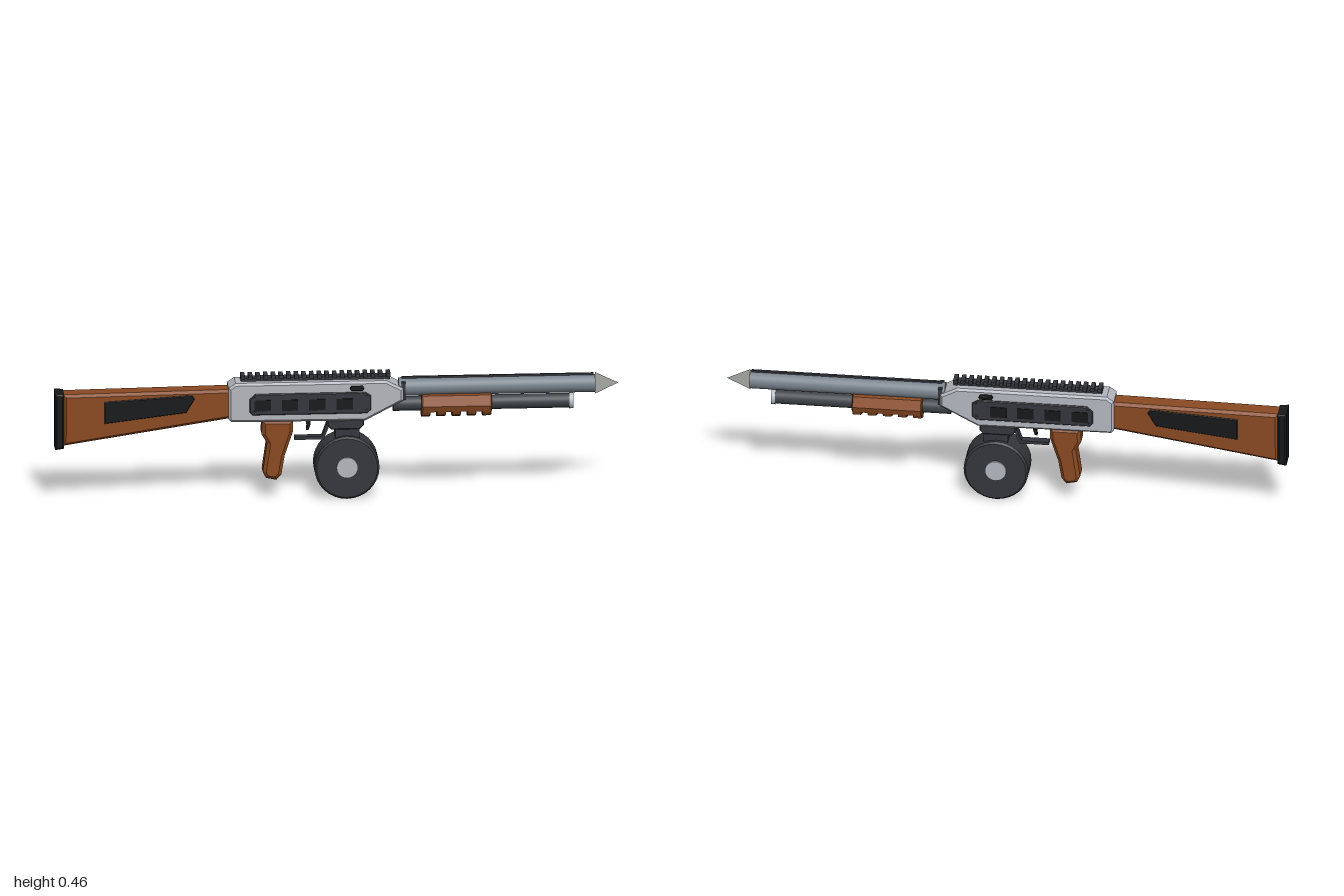
import * as THREE from 'three';

const mat = (color) => new THREE.MeshStandardMaterial({ color, flatShading: true });
const smooth = (color) => new THREE.MeshStandardMaterial({ color });

export function createModel() {
  const group = new THREE.Group();
  const metal = mat(0xb4b7be), wood = mat(0x8a4a22), dark = mat(0x34363c), black = mat(0x17181a);
  const steel = smooth(0x78828c), tubeSteel = smooth(0x3f4449), capSteel = smooth(0xb9bec6);

  function add(name, geometry, material, x = 0, y = 0, z = 0) {
    const mesh = new THREE.Mesh(geometry, material);
    mesh.name = name;
    mesh.position.set(x, y, z);
    group.add(mesh);
    return mesh;
  }
  const box = (name, m, x, y, z, w, h, d) => add(name, new THREE.BoxGeometry(w, h, d), m, x, y, z);

  // Side outline extruded across z, with chamfered edges kept inside the outline
  function slab(name, m, points, width, bevel = 0.008, z = 0) {
    const shape = new THREE.Shape(points.map(([x, y]) => new THREE.Vector2(x, y)));
    const geo = new THREE.ExtrudeGeometry(shape, {
      depth: width - 2 * bevel, bevelEnabled: bevel > 0, bevelSize: bevel,
      bevelThickness: bevel, bevelOffset: -bevel, bevelSegments: 1,
    });
    geo.translate(0, 0, bevel - width / 2);
    return add(name, geo, m, 0, 0, z);
  }

  // Cylinder lying along x between two positions
  function rod(name, m, x0, x1, y, r, sides = 32) {
    const geo = new THREE.CylinderGeometry(r, r, x1 - x0, sides);
    geo.rotateZ(-Math.PI / 2);
    return add(name, geo, m, (x0 + x1) / 2, y, 0);
  }

  // Cross-section in z and y extruded along x
  function section(name, m, points, x0, x1, bevel) {
    const mesh = slab(name, m, points, x1 - x0, bevel);
    mesh.geometry.rotateY(Math.PI / 2);
    mesh.position.x = (x0 + x1) / 2;
    return mesh;
  }

  // Receiver
  slab('receiver', metal, [
    [-0.375, 0.29], [0.10, 0.287], [0.235, 0.358], [0.235, 0.402], [0.175, 0.433],
    [-0.36, 0.433], [-0.385, 0.415], [-0.385, 0.30],
  ], 0.096, 0.008);
  box('barrelCollar', dark, 0.236, 0.39, 0, 0.014, 0.064, 0.066);

  // Top rail
  box('railBase', dark, -0.075, 0.438, 0, 0.53, 0.012, 0.036);
  const teeth = 20;
  for (let i = 0; i < teeth; i++) {
    box('railTooth', dark, -0.333 + i * 0.516 / (teeth - 1), 0.448, 0, 0.015, 0.014, 0.048);
  }

  // Side plates, inset pads, screws and bolt knobs
  for (const s of [1, -1]) {
    slab('sidePlate', dark, [
      [-0.30, 0.317], [0.105, 0.317], [0.12, 0.33], [0.12, 0.382], [0.10, 0.395],
      [-0.29, 0.395], [-0.312, 0.375], [-0.312, 0.33],
    ], 0.014, 0.003, s * 0.047);
    for (let i = 0; i < 4; i++) {
      box('sidePad', black, -0.265 + i * 0.097, 0.353, s * 0.0545, 0.058, 0.04, 0.004);
    }
    for (const [x, y] of [[-0.295, 0.38], [0.105, 0.38], [-0.295, 0.328], [0.105, 0.328]]) {
      const geo = new THREE.CylinderGeometry(0.006, 0.006, 0.008, 10);
      geo.rotateX(Math.PI / 2);
      add('screw', geo, dark, x, y, s * 0.054);
    }
    slab('boltKnob', black, [
      [0.05, 0.403], [0.09, 0.403], [0.095, 0.41], [0.09, 0.418], [0.05, 0.418], [0.045, 0.41],
    ], 0.018, 0.002, s * 0.053);
  }

  // Stock with side insets and butt pad
  slab('stock', wood, [[-0.97, 0.212], [-0.37, 0.303], [-0.37, 0.408], [-0.97, 0.40]], 0.076, 0.01);
  for (const s of [1, -1]) {
    slab('stockInset', black, [
      [-0.825, 0.293], [-0.535, 0.328], [-0.505, 0.378], [-0.515, 0.392], [-0.825, 0.373],
    ], 0.01, 0.002, s * 0.037);
  }
  slab('buttPad', black, [[-1, 0.198], [-0.968, 0.203], [-0.968, 0.402], [-1, 0.405]], 0.084, 0.006);

  // Pistol grip
  slab('grip', wood, [
    [-0.265, 0.292], [-0.267, 0.24], [-0.248, 0.205], [-0.263, 0.10], [-0.252, 0.078],
    [-0.215, 0.07], [-0.197, 0.09], [-0.185, 0.16], [-0.155, 0.25], [-0.155, 0.292],
  ], 0.08, 0.012);

  // Trigger and guard
  slab('trigger', black, [
    [-0.112, 0.292], [-0.106, 0.262], [-0.108, 0.245], [-0.099, 0.245], [-0.093, 0.265], [-0.092, 0.292],
  ], 0.016, 0);
  slab('triggerGuard', dark, [
    [-0.15, 0.212], [-0.045, 0.212], [-0.015, 0.292], [-0.028, 0.292], [-0.052, 0.223], [-0.15, 0.223],
  ], 0.03, 0);

  // Drum magazine with neck and hubs
  const drum = new THREE.LatheGeometry([
    [0, -0.053], [0.108, -0.053], [0.115, -0.046], [0.115, 0.046], [0.108, 0.053], [0, 0.053],
  ].map(([r, y]) => new THREE.Vector2(r, y)), 32);
  drum.rotateX(Math.PI / 2);
  add('drum', drum, dark, 0.035, 0.115, 0);
  const hub = new THREE.CylinderGeometry(0.038, 0.038, 0.119, 24);
  hub.rotateX(Math.PI / 2);
  add('drumHub', hub, metal, 0.035, 0.118, 0);
  box('magazineNeck', dark, 0.037, 0.235, 0, 0.086, 0.05, 0.07);
  slab('magazineWell', dark, [
    [-0.02, 0.255], [0.08, 0.255], [0.095, 0.27], [0.095, 0.292], [-0.035, 0.292], [-0.035, 0.27],
  ], 0.086, 0.004);

  // Barrel, top rib and magazine tube
  rod('barrel', steel, 0.22, 0.917, 0.397, 0.032);
  box('barrelRib', dark, 0.572, 0.43, 0, 0.68, 0.01, 0.01);
  rod('magazineTube', tubeSteel, 0.2, 0.828, 0.335, 0.026);
  rod('tubeCap', capSteel, 0.826, 0.84, 0.335, 0.029);

  // Flat pointed muzzle tip
  const tip = new THREE.ShapeGeometry(new THREE.Shape([
    new THREE.Vector2(0.917, 0.357), new THREE.Vector2(1, 0.397), new THREE.Vector2(0.917, 0.437),
  ]));
  const tipMat = mat(0xa5a8a2);
  tipMat.side = THREE.DoubleSide;
  add('muzzleTip', tip, tipMat);

  // Pump fore-end: eight-sided sleeve cut flat below, with gripping ribs under it
  const r = 0.05, cy = 0.335, c = r * Math.SQRT1_2;
  section('foreEnd', wood, [
    [-0.043, 0.313], [0.043, 0.313], [r, cy], [c, cy + c], [0, cy + 0.043], [-c, cy + c], [-r, cy],
  ], 0.3, 0.55, 0.004);
  for (let i = 0; i < 5; i++) {
    const x = 0.3 + i * 0.054;
    section('foreEndRib', wood, [
      [0, cy - r], [c, cy - c], [0.043, 0.316], [-0.043, 0.316], [-c, cy - c],
    ], x, x + 0.032, 0.002);
  }
  return group;
}
